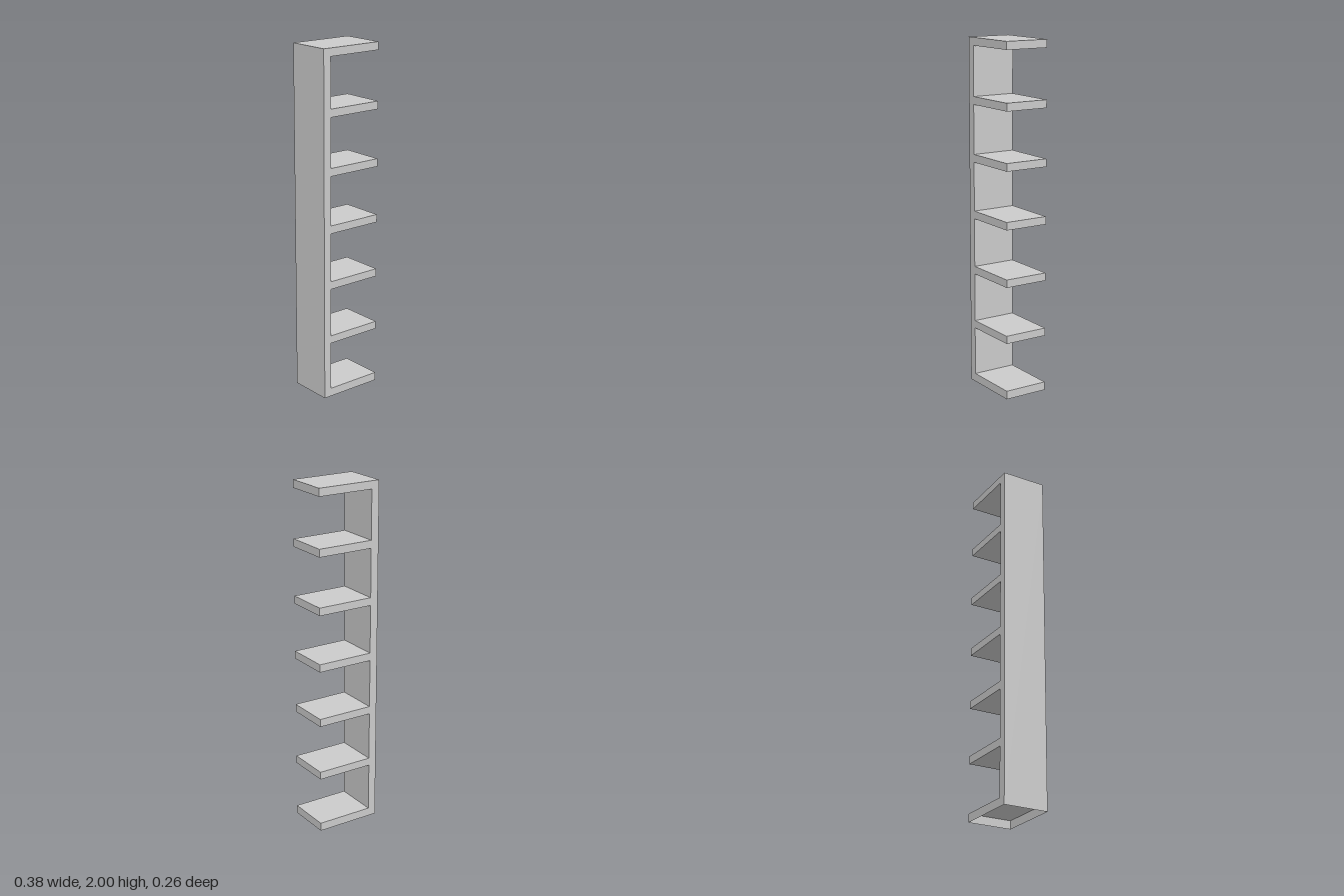
import * as THREE from 'three';

const HALF_W = 0.19, HALF_D = 0.13, HEIGHT = 2;
const SPINE_X = -0.143;      // inner face of the upright
const SHELVES = 7, PITCH = 0.3253, THICK = 0.045;

// Comb outline: upright on the right-hand side, shelves reaching to the left
function combShape() {
  const s = new THREE.Shape();
  s.moveTo(-HALF_W, 0);
  s.lineTo(HALF_W, 0);
  for (let i = SHELVES - 1; i >= 0; i--) {
    const top = HEIGHT - i * PITCH;
    if (i < SHELVES - 1) {
      s.lineTo(SPINE_X, top - THICK);
      s.lineTo(HALF_W, top - THICK);
    }
    s.lineTo(HALF_W, top);
    if (i > 0) s.lineTo(SPINE_X, top);
  }
  s.lineTo(-HALF_W, HEIGHT);
  s.closePath();
  return s;
}

// The body is a hollow shell: drop the triangles lying on the ground
function openBottom(geometry) {
  const p = geometry.attributes.position, kept = [];
  for (let i = 0; i < p.count; i += 3) {
    if (Math.max(p.getY(i), p.getY(i + 1), p.getY(i + 2)) < 1e-5) continue;
    for (let k = i; k < i + 3; k++) kept.push(p.getX(k), p.getY(k), p.getZ(k));
  }
  const open = new THREE.BufferGeometry();
  open.setAttribute('position', new THREE.Float32BufferAttribute(kept, 3));
  open.computeVertexNormals();
  return open;
}

export function createModel() {
  const group = new THREE.Group();
  group.name = 'shelfUnit';
  const solid = new THREE.ExtrudeGeometry(combShape(), { depth: 2 * HALF_D, bevelEnabled: false });
  solid.translate(0, 0, -HALF_D);
  const material = new THREE.MeshStandardMaterial({
    color: 0xcccccc, flatShading: true, side: THREE.DoubleSide,
  });

  // Upright and shelves, one continuous shell
  const body = new THREE.Mesh(openBottom(solid), material);
  body.name = 'uprightWithShelves';
  group.add(body);
  return group;
}
